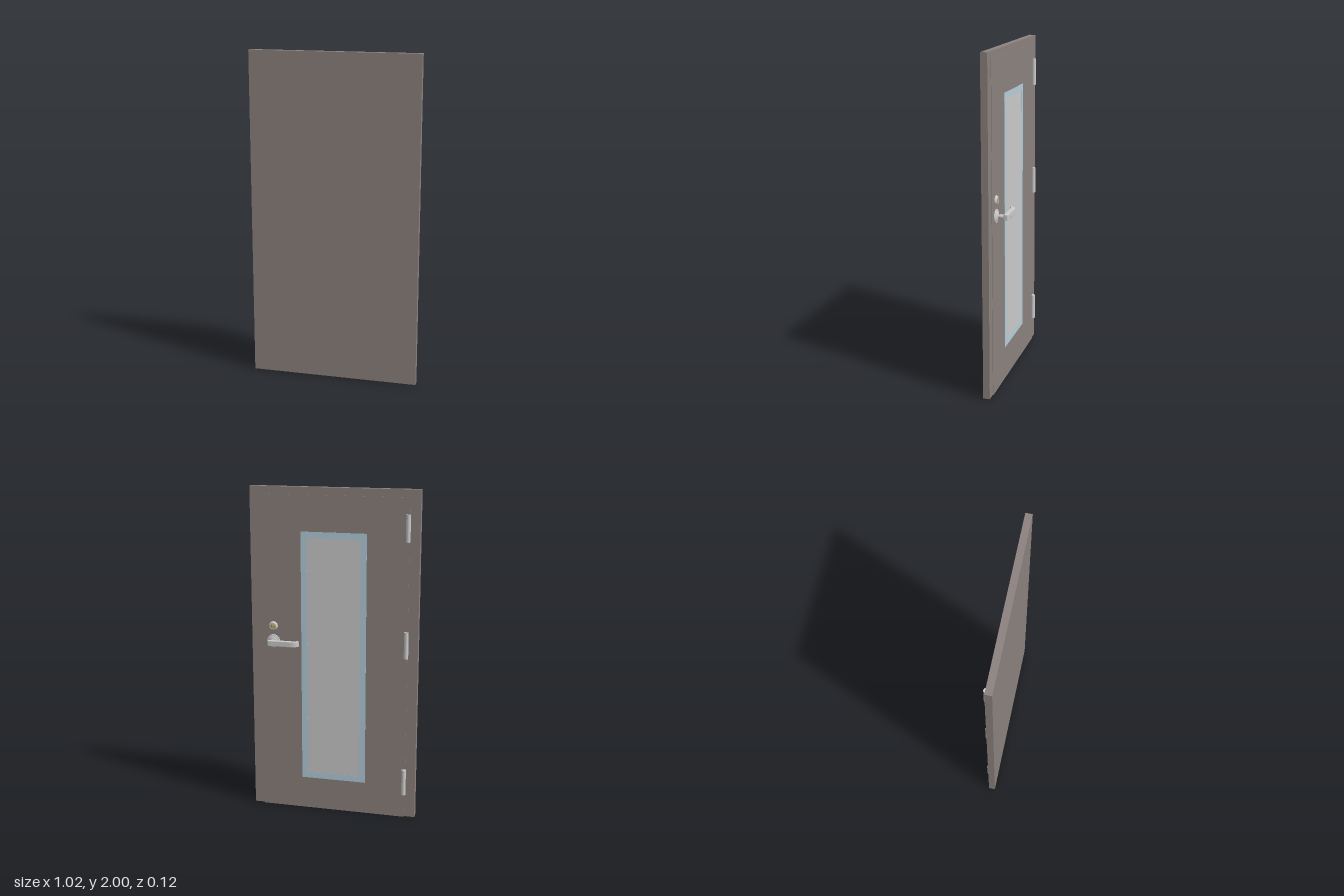
import * as THREE from 'three';

const paint = new THREE.MeshStandardMaterial({ color: 0x8c827e });
const metal = new THREE.MeshStandardMaterial({ color: 0xcccccc });
const pane = new THREE.MeshStandardMaterial({ color: 0xcccccc });
const trim = new THREE.MeshStandardMaterial({ color: 0xb5d0dd });
const brass = new THREE.MeshStandardMaterial({ color: 0xb0a050 });

export function createModel() {
  const door = new THREE.Group();
  door.name = 'door';

  const add = (name, geometry, material, x = 0, y = 0, z = 0, parent = door) => {
    const mesh = new THREE.Mesh(geometry, material);
    mesh.name = name;
    mesh.position.set(x, y, z);
    parent.add(mesh);
    return mesh;
  };
  // Box given by its limits
  const box = (name, material, x0, x1, y0, y1, z0, z1) =>
    add(name, new THREE.BoxGeometry(x1 - x0, y1 - y0, z1 - z0), material,
      (x0 + x1) / 2, (y0 + y1) / 2, (z0 + z1) / 2);
  // Turned part whose axis points out of the back of the door (-z)
  const turned = (points) => new THREE.LatheGeometry(
    points.map(([r, h]) => new THREE.Vector2(r, h)), 32).rotateX(-Math.PI / 2);

  // Slab and the thin raised leaf on its back
  box('slab', paint, -0.512, 0.512, 0.004, 2, 0.017, 0.057);
  box('leaf', paint, -0.45, 0.45, 0, 1.955, 0.0145, 0.017);

  // Window border with a hole, and the pane within it
  const rect = (T, x, y0, y1) => new T([[-x, y0], [x, y0], [x, y1], [-x, y1]]
    .map(([a, b]) => new THREE.Vector2(a, b)));
  const border = rect(THREE.Shape, 0.2, 0.2, 1.74);
  border.holes.push(rect(THREE.Path, 0.163, 0.237, 1.703));
  add('windowBorder', new THREE.ExtrudeGeometry(border, { depth: 0.003, bevelEnabled: false }),
    trim, 0, 0, 0.0135);
  box('windowPane', pane, -0.163, 0.163, 0.237, 1.703, 0.0138, 0.0165);

  // Hinge barrels
  for (const y of [0.23, 1.09, 1.78]) {
    add('hinge', new THREE.CylinderGeometry(0.0135, 0.0135, 0.16, 24), metal, -0.443, y, 0.0085);
  }

  // Lever handle: stepped rose, neck and curved grip
  const handle = new THREE.Group();
  handle.name = 'leverHandle';
  handle.position.set(0.375, 1.068, 0.015);
  door.add(handle);
  add('rose', turned([[0.041, 0], [0.041, 0.005], [0.038, 0.007], [0.028, 0.007],
    [0.022, 0.013], [0.013, 0.015], [0, 0.015]]), metal, 0, 0, 0, handle);
  add('neck', turned([[0.011, 0], [0.011, 0.026], [0.0135, 0.028], [0.0135, 0.055], [0, 0.055]]),
    metal, 0, 0, 0, handle);

  // Grip outline seen from above, drawn in x and distance from the door
  const grip = new THREE.Shape();
  grip.moveTo(0.011, 0.051);
  grip.lineTo(-0.128, 0.051);
  grip.quadraticCurveTo(-0.15, 0.05, -0.164, 0.038);
  grip.quadraticCurveTo(-0.171, 0.042, -0.169, 0.05);
  grip.quadraticCurveTo(-0.158, 0.073, -0.122, 0.073);
  grip.lineTo(0.011, 0.073);
  grip.quadraticCurveTo(0.016, 0.073, 0.016, 0.068);
  grip.lineTo(0.016, 0.056);
  grip.quadraticCurveTo(0.016, 0.051, 0.011, 0.051);
  const gripGeometry = new THREE.ExtrudeGeometry(grip, {
    depth: 0.026, curveSegments: 10, bevelEnabled: true,
    bevelThickness: 0.004, bevelSize: 0.003, bevelOffset: -0.001, bevelSegments: 3,
  }).translate(0, 0, -0.013).rotateX(-Math.PI / 2);
  add('grip', gripGeometry, metal, 0, 0, 0, handle);

  // Lock: metal ring, brass plug and a dark-free raised keyway bar
  const lock = new THREE.Group();
  lock.name = 'lock';
  lock.position.set(0.375, 1.162, 0.015);
  door.add(lock);
  add('lockRing', turned([[0.028, 0], [0.027, 0.006], [0.02, 0.013], [0.016, 0.013], [0.016, 0.004]]),
    metal, 0, 0, 0, lock);
  add('lockPlug', turned([[0.0165, 0], [0.0165, 0.011], [0, 0.011]]), brass, 0, 0, 0, lock);
  add('keyway', new THREE.BoxGeometry(0.003, 0.016, 0.002), metal, 0, 0, -0.0112, lock);

  return door;
}
